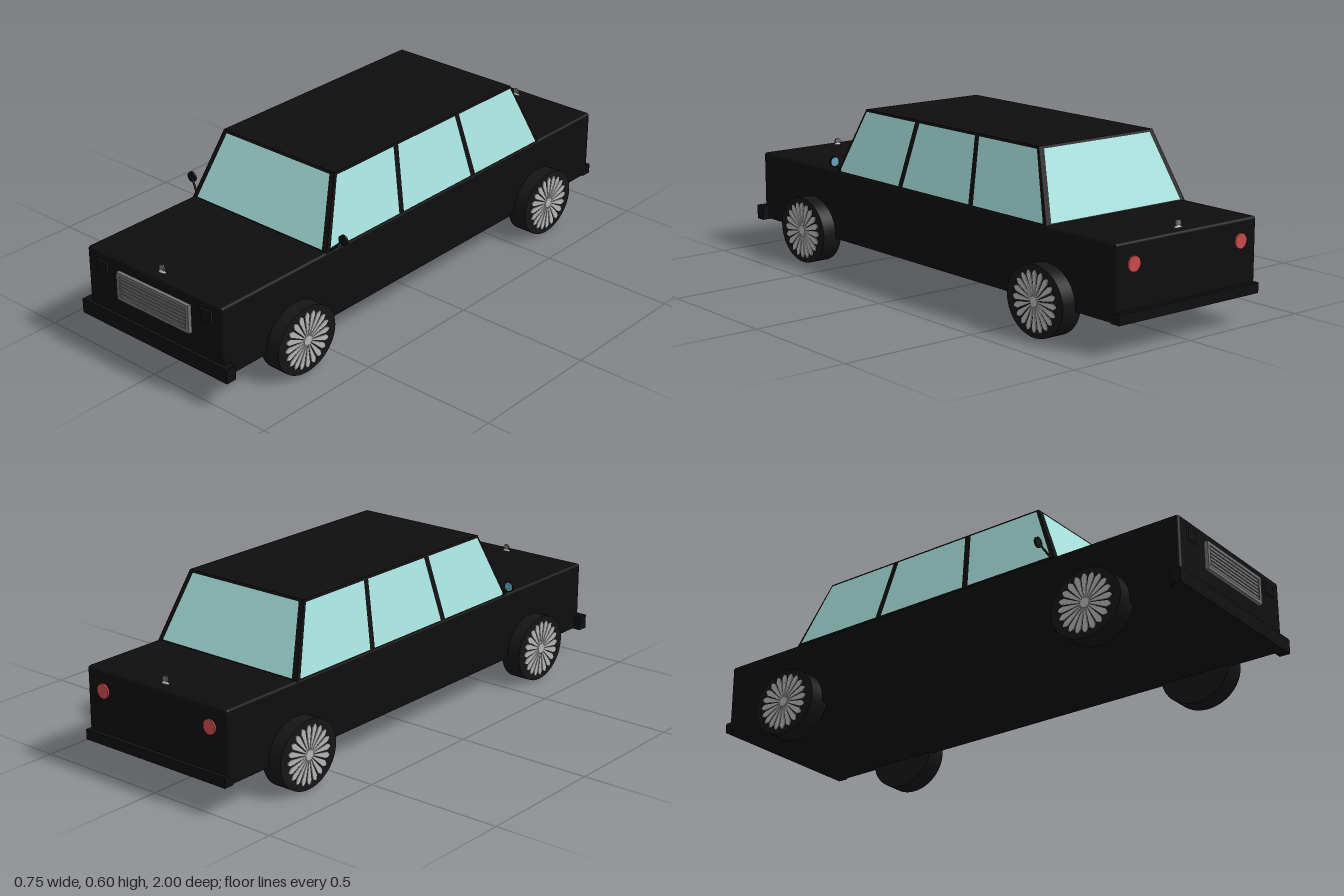
import * as THREE from 'three';
import { mergeGeometries } from 'three/addons/utils/BufferGeometryUtils.js';
import { RoundedBoxGeometry } from 'three/addons/geometries/RoundedBoxGeometry.js';

const mat = (color, side = THREE.FrontSide) => new THREE.MeshStandardMaterial({ color, side });
const paint = mat(0x0e0e0e);
const rubber = mat(0x151515);
const trim = mat(0x303030);
const chrome = mat(0xb4b4b4);
const grey = mat(0x707070);
const dark = mat(0x404040);
const red = mat(0xc84a4a);
const blue = mat(0x5fa8c0);
const glass = mat(0xa8e2de, THREE.DoubleSide);

// Cabin: bottom and top outlines of the tapered greenhouse
const Y0 = 0.36, Y1 = 0.6;
const HALF0 = 0.314, HALF1 = 0.256;
const FRONT0 = 0.5, FRONT1 = 0.395, BACK0 = -0.655, BACK1 = -0.55;
const at = (a, b, y) => a + (b - a) * (y - Y0) / (Y1 - Y0);

function add(parent, name, geometry, material, x = 0, y = 0, z = 0) {
  const mesh = new THREE.Mesh(geometry, material);
  mesh.name = name;
  mesh.position.set(x, y, z);
  parent.add(mesh);
  return mesh;
}

const box = (w, h, d) => new THREE.BoxGeometry(w, h, d);

// Flat four-cornered pane
function pane(corners) {
  const g = new THREE.BufferGeometry().setFromPoints(corners.map(c => new THREE.Vector3(...c)));
  g.setIndex([0, 1, 2, 0, 2, 3]);
  g.computeVertexNormals();
  return g;
}

function cabinGeometry() {
  const g = box(1, 1, 1);
  const p = g.attributes.position;
  for (let i = 0; i < p.count; i++) {
    const top = p.getY(i) > 0, front = p.getZ(i) > 0;
    const half = top ? HALF1 : HALF0;
    const z = front ? (top ? FRONT1 : FRONT0) : (top ? BACK1 : BACK0);
    p.setXYZ(i, Math.sign(p.getX(i)) * half, top ? Y1 : Y0, z);
  }
  g.computeVertexNormals();
  return g;
}

function addCabin(car) {
  add(car, 'cabin', cabinGeometry(), paint);
  const lo = 0.367, hi = 0.592, gap = 0.002;

  // Windscreen and rear window
  for (const [name, z0, z1, s] of [['windscreen', FRONT0, FRONT1, 1], ['rearWindow', BACK0, BACK1, -1]]) {
    const zl = at(z0, z1, lo) + s * gap, zh = at(z0, z1, hi) + s * gap;
    add(car, name, pane([[-s * 0.292, lo, zl], [s * 0.292, lo, zl], [s * 0.238, hi, zh], [-s * 0.238, hi, zh]]), glass);
  }

  // Side windows: [front bottom, rear bottom, rear top, front top] along z
  const sides = [
    [0.482, 0.132, 0.102, 0.388],
    [0.108, -0.258, -0.228, 0.078],
    [-0.282, -0.638, -0.545, -0.25],
  ];
  for (const s of [1, -1]) {
    const xl = s * (at(HALF0, HALF1, lo) + gap), xh = s * (at(HALF0, HALF1, hi) + gap);
    for (const [a, b, c, d] of sides) {
      const corners = [[xl, lo, a], [xl, lo, b], [xh, hi, c], [xh, hi, d]];
      add(car, 'sideWindow', pane(s > 0 ? corners : corners.reverse()), glass);
    }
  }
}

// Many tapered petals around a hub, as one geometry
function spokesGeometry(count) {
  const petal = new THREE.Shape();
  petal.moveTo(0.018, -0.002);
  petal.lineTo(0.09, -0.011);
  petal.quadraticCurveTo(0.12, 0, 0.09, 0.011);
  petal.lineTo(0.018, 0.002);
  const one = new THREE.ExtrudeGeometry(petal, { depth: 0.004, bevelEnabled: false, curveSegments: 6 });
  const parts = [];
  for (let i = 0; i < count; i++) parts.push(one.clone().rotateZ(i / count * Math.PI * 2));
  return mergeGeometries(parts);
}

function addWheels(car) {
  // Tyres are slightly wider than tall
  const tyre = new THREE.CylinderGeometry(1, 1, 0.076, 48).rotateX(Math.PI / 2).scale(0.137, 0.122, 1);
  const spokes = spokesGeometry(20);
  const hub = new THREE.CylinderGeometry(0.018, 0.022, 0.006, 24).rotateX(Math.PI / 2);
  for (const s of [1, -1]) for (const z of [0.655, -0.66]) {
    const wheel = new THREE.Group();
    wheel.name = z > 0 ? 'frontWheel' : 'rearWheel';
    wheel.position.set(s * 0.329, 0.123, z);
    wheel.rotation.y = s * Math.PI / 2;
    add(wheel, 'tyre', tyre, rubber);
    add(wheel, 'spokes', spokes, chrome, 0, 0, 0.037);
    add(wheel, 'hub', hub, chrome, 0, 0, 0.039);
    car.add(wheel);
  }
}

function addGrille(car) {
  const grille = new THREE.Group();
  grille.name = 'grille';
  grille.position.set(0.005, 0.274, 0.988);
  add(grille, 'grillePanel', box(0.32, 0.09, 0.008), dark);
  for (const s of [1, -1]) {
    add(grille, 'grilleRail', box(0.336, 0.012, 0.022), grey, 0, s * 0.045, 0);
    add(grille, 'grilleSide', box(0.014, 0.102, 0.022), grey, s * 0.161, 0, 0);
  }
  for (let i = 0; i < 6; i++) {
    add(grille, 'grilleSlat', box(0.31, 0.01, 0.016), grey, 0, -0.0325 + i * 0.013, 0);
  }
  car.add(grille);
}

// Small disc on a flared foot
function addOrnament(car, z) {
  const ornament = new THREE.Group();
  ornament.name = 'ornament';
  ornament.position.set(0, 0.36, z);
  add(ornament, 'ornamentFoot', new THREE.CylinderGeometry(0.007, 0.021, 0.011, 20).scale(1, 1, 0.5), chrome, 0, 0.005, 0);
  add(ornament, 'ornamentDisc', new THREE.CylinderGeometry(0.012, 0.012, 0.005, 24).rotateX(Math.PI / 2), grey, 0, 0.016, 0);
  car.add(ornament);
}

function addMirror(car, s) {
  const mirror = new THREE.Group();
  mirror.name = 'wingMirror';
  const arm = new THREE.LineCurve3(new THREE.Vector3(s * 0.305, 0.36, 0.485), new THREE.Vector3(s * 0.35, 0.404, 0.465));
  add(mirror, 'mirrorArm', new THREE.TubeGeometry(arm, 1, 0.004, 8), paint);
  const disc = new THREE.CylinderGeometry(0.019, 0.019, 0.008, 28).rotateX(Math.PI / 2);
  add(mirror, 'mirrorShell', disc, paint, s * 0.354, 0.41, 0.462);
  add(mirror, 'mirrorGlass', new THREE.CircleGeometry(0.016, 28).rotateY(Math.PI), blue, s * 0.354, 0.41, 0.457);
  car.add(mirror);
}

export function createModel() {
  const car = new THREE.Group();
  car.name = 'car';

  // Lower body and bumpers
  add(car, 'body', new RoundedBoxGeometry(0.63, 0.258, 1.967, 3, 0.01), paint, 0, 0.234, 0.0015);
  add(car, 'frontBumper', box(0.682, 0.053, 0.04), paint, 0, 0.1315, 0.98);
  add(car, 'rearBumper', box(0.63, 0.036, 0.04), paint, 0, 0.123, -0.98);

  addCabin(car);
  addWheels(car);
  addGrille(car);
  addOrnament(car, 0.943);
  addOrnament(car, -0.935);

  const lamp = new THREE.CylinderGeometry(0.026, 0.026, 0.012, 28).rotateX(Math.PI / 2);
  for (const s of [1, -1]) {
    addMirror(car, s);
    // Square headlamps with a thin lighter edge, round tail lamps
    add(car, 'headlampEdge', box(0.05, 0.046, 0.01), trim, s * 0.243, 0.311, 0.984);
    add(car, 'headlamp', box(0.047, 0.043, 0.014), paint, s * 0.243, 0.311, 0.984);
    add(car, 'tailLamp', lamp, red, s * 0.24, 0.29, -0.982);
  }
  return car;
}
